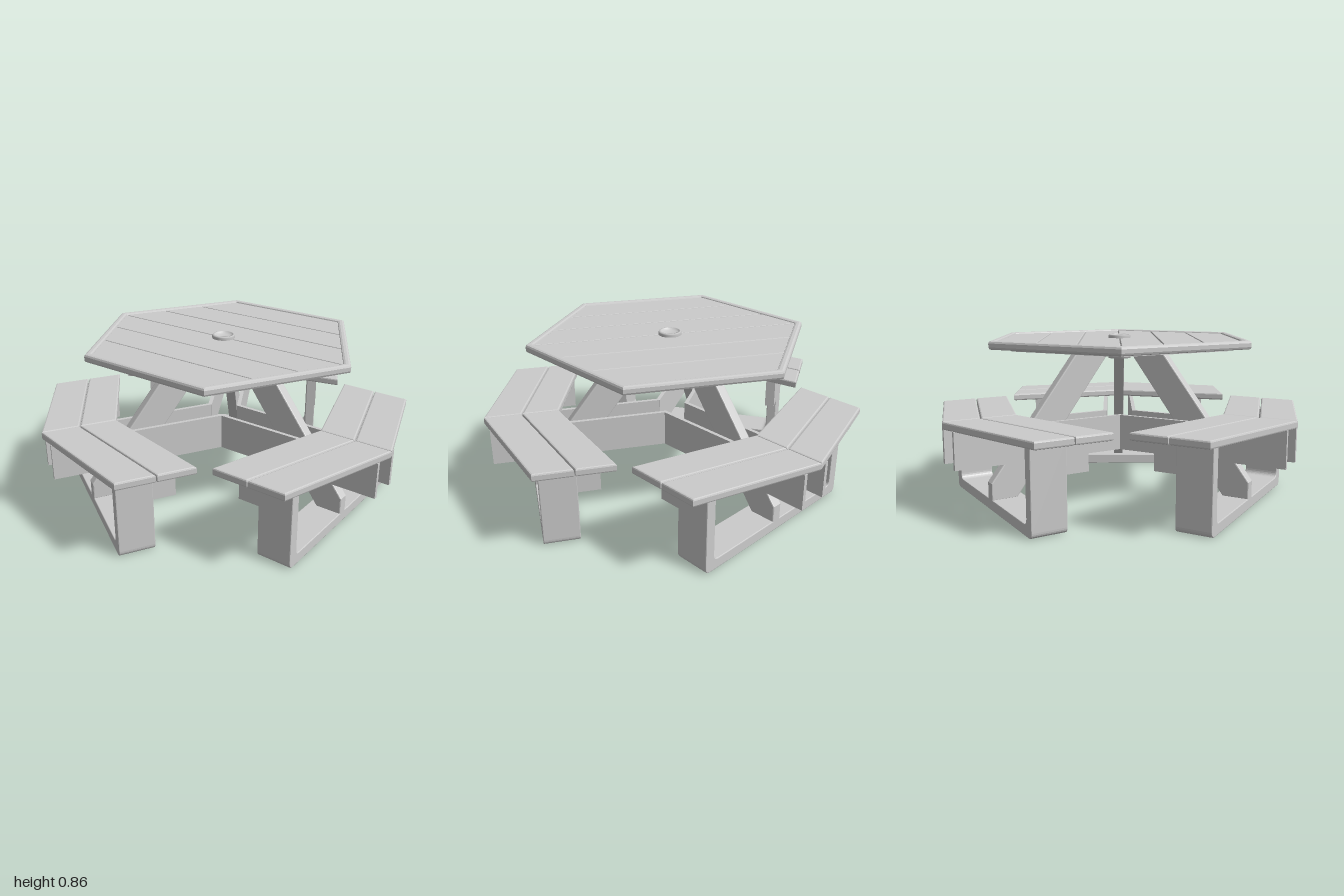
import * as THREE from 'three';

const material = new THREE.MeshStandardMaterial({ color: 0xcccccc });

function add(parent, name, geometry) {
  const mesh = new THREE.Mesh(geometry, material);
  mesh.name = name;
  parent.add(mesh);
  return mesh;
}

const toShape = (pts) => new THREE.Shape(pts.map(([a, b]) => new THREE.Vector2(a, b)));

// Extrusion with a bevel that stays inside the outline and the depth
function extrude(shape, depth, bevel = 0) {
  const geo = new THREE.ExtrudeGeometry(shape, {
    depth: depth - 2 * bevel, bevelEnabled: bevel > 0, bevelThickness: bevel,
    bevelSize: bevel, bevelOffset: -bevel, bevelSegments: 2, curveSegments: 6,
  });
  return geo.translate(0, 0, bevel);
}

// Horizontal slab from an outline in plan
function slab(shape, y0, y1, bevel) {
  return extrude(shape, y1 - y0, bevel).rotateX(-Math.PI / 2).translate(0, y0, 0);
}

// Box given by its limits
function box(x0, x1, y0, y1, z0, z1) {
  return new THREE.BoxGeometry(x1 - x0, y1 - y0, z1 - z0)
    .translate((x0 + x1) / 2, (y0 + y1) / 2, (z0 + z1) / 2);
}

function hexagon(r) {
  return Array.from({ length: 6 }, (_, i) => {
    const a = (i * Math.PI) / 3;
    return [r * Math.cos(a), r * Math.sin(a)];
  });
}

function createTable() {
  const table = new THREE.Group();
  table.name = 'tableTop';

  // Raised rim around the planks
  const rim = toShape(hexagon(0.738));
  rim.holes.push(new THREE.Path(hexagon(0.695).map(([a, b]) => new THREE.Vector2(a, b))));
  add(table, 'tableRim', slab(rim, 0.803, 0.846, 0.012));

  // Six planks parallel to one side of the hexagon
  const R = 0.7, apothem = R * Math.sqrt(3) / 2, width = apothem / 3, gap = 0.003;
  const half = (q) => R - Math.abs(q) / Math.sqrt(3);
  for (let i = -3; i < 3; i++) {
    const a = i * width + gap, b = (i + 1) * width - gap;
    const plank = toShape([[-half(a), a], [half(a), a], [half(b), b], [-half(b), b]]);
    add(table, 'tablePlank', slab(plank, 0.806, 0.838, 0.004));
  }
  add(table, 'underPlate', slab(toShape(hexagon(0.62)), 0.79, 0.808, 0));
  table.rotation.y = -Math.PI / 3;
  return table;
}

// One arm of the star: local +x points outwards from the hub
function createArm() {
  const arm = new THREE.Group();
  arm.name = 'benchArm';

  // Chevron seat: two planks on each side of the bend
  const bend = 0.195, end = 0.632;
  for (const s of [1, -1]) {
    for (const [inner, outer] of [[0.6, 0.786], [0.792, 0.98]]) {
      const pts = [[inner, 0], [outer, 0], [outer - bend, s * end], [inner - bend, s * end]];
      add(arm, 'seatPlank', slab(toShape(pts), 0.433, 0.472, 0.008));
    }
  }

  // U-shaped frame of two legs and a ground bar
  const w = 0.51, t = 0.055, top = 0.434, r = 0.03, k = w - t;
  const u = new THREE.Shape();
  u.moveTo(-w, top);
  u.lineTo(-w, r);
  u.quadraticCurveTo(-w, 0, -w + r, 0);
  u.lineTo(w - r, 0);
  u.quadraticCurveTo(w, 0, w, r);
  u.lineTo(w, top);
  u.lineTo(k, top);
  u.lineTo(k, t + r);
  u.quadraticCurveTo(k, t, k - r, t);
  u.lineTo(-k + r, t);
  u.quadraticCurveTo(-k, t, -k, t + r);
  u.lineTo(-k, top);
  u.closePath();
  add(arm, 'legFrame', extrude(u, 0.18, 0.004).rotateY(Math.PI / 2).translate(0.575, 0, 0));

  for (const s of [1, -1]) {
    // Wider head of each leg beneath the seat
    add(arm, 'legBracket', box(0.465, 0.585, 0.275, top, s * 0.4825 - 0.0265, s * 0.4825 + 0.0265));
    // Beam boards running on both sides of the post
    add(arm, 'beamBoard', box(0.04, 0.955, 0.247, top, s * 0.08 - 0.01, s * 0.08 + 0.01));
  }

  // Sloping post from the ground bar up to the table
  const post = toShape([[0.06, 0.792], [0.62, 0.05], [0.755, 0.05], [0.755, 0.14], [0.255, 0.792]]);
  add(arm, 'slopingPost', extrude(post, 0.056, 0.006).translate(0, 0, -0.028));
  return arm;
}

export function createModel() {
  const model = new THREE.Group();
  model.name = 'picnicTable';
  const star = new THREE.Group();
  star.name = 'tableAndBenches';
  star.position.x = 0.015;
  model.add(star);

  star.add(createTable());

  // Central parasol socket with a shallow recess
  const profile = [[0, 0.73], [0.06, 0.73], [0.06, 0.85], [0.055, 0.856], [0.047, 0.856],
    [0.042, 0.842], [0, 0.842]].map(([x, y]) => new THREE.Vector2(x, y));
  add(star, 'parasolSocket', new THREE.LatheGeometry(profile, 32));

  for (let i = 0; i < 3; i++) {
    const arm = createArm();
    arm.rotation.y = Math.PI / 3 + (i * 2 * Math.PI) / 3;
    star.add(arm);
  }
  return model;
}
